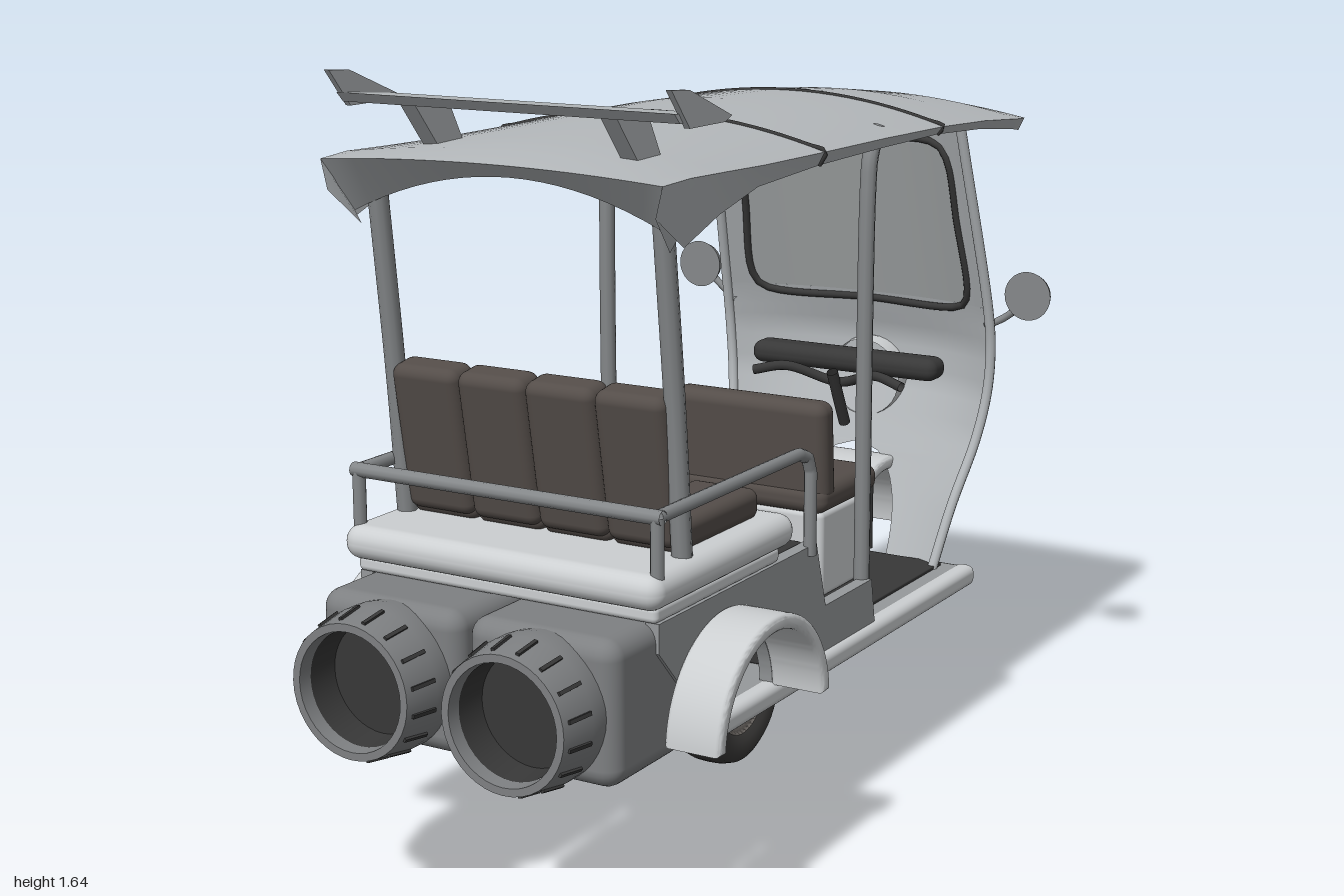
import * as THREE from 'three';
import { toCreasedNormals } from 'three/addons/utils/BufferGeometryUtils.js';
import { RoundedBoxGeometry } from 'three/addons/geometries/RoundedBoxGeometry.js';

const mat = (name, color) => new THREE.MeshStandardMaterial({ name, color, side: THREE.DoubleSide });
const V = (x, y, z) => new THREE.Vector3(x, y, z);

export function createModel() {
  const root = new THREE.Group();
  const paint = mat('grey paint', 0xb4b8bb), light = mat('light trim', 0xcccfd1), body = mat('body grey', 0x96999b);
  const metal = mat('tube metal', 0x85888a), engine = mat('engine grey', 0x7e8082), dark = mat('dark plastic', 0x383838);
  const seat = mat('seat leather', 0x544d49), tyre = mat('tyre rubber', 0x3a3938), hub = mat('wheel hub', 0x6c6763);
  const glass = mat('windscreen glass', 0xa9adae);

  const add = (name, geo, m, x = 0, y = 0, z = 0) => {
    const mesh = new THREE.Mesh(geo, m);
    mesh.name = name;
    mesh.position.set(x, y, z);
    root.add(mesh);
    return mesh;
  };
  // Rounded box given by its limits on each axis
  const box = (name, m, [x0, x1], [y0, y1], [z0, z1], r = 0.01) =>
    add(name, new RoundedBoxGeometry(x1 - x0, y1 - y0, z1 - z0, 3, r), m, (x0 + x1) / 2, (y0 + y1) / 2, (z0 + z1) / 2);
  const tube = (name, m, pts, r, closed = false, curved = true) => {
    let curve = new THREE.CatmullRomCurve3(pts, closed, 'centripetal');
    if (!curved) {
      curve = new THREE.CurvePath();
      for (let i = 1; i < pts.length; i++) curve.add(new THREE.LineCurve3(pts[i - 1], pts[i]));
    }
    return add(name, new THREE.TubeGeometry(curve, 64, r, 10, closed), m);
  };
  // Outline in (z, y) extruded along x from x0 to x1
  const extrudeX = (name, m, shape, x0, x1, bevel = 0) => {
    const geo = new THREE.ExtrudeGeometry(shape, {
      depth: x1 - x0 - 2 * bevel, bevelEnabled: bevel > 0, bevelSize: bevel, bevelOffset: -bevel,
      bevelThickness: bevel, bevelSegments: 3, curveSegments: 32,
    });
    geo.rotateY(-Math.PI / 2).translate(x1 - bevel, 0, 0);
    return add(name, toCreasedNormals(geo, 0.6), m);
  };
  const outline = (pts) => new THREE.Shape(pts.map(([z, y]) => new THREE.Vector2(z, y)));
  // Skin over rows of points
  const loft = (rows) => {
    const n = rows[0].length, index = [];
    for (let i = 0; i < rows.length - 1; i++) for (let j = 0; j < n - 1; j++) {
      const a = i * n + j, b = a + n;
      index.push(a, b, a + 1, b, b + 1, a + 1);
    }
    const geo = new THREE.BufferGeometry().setFromPoints(rows.flat());
    geo.setIndex(index);
    return toCreasedNormals(geo, 0.7);
  };

  // Roof: z, crown y, edge y, half width, lip y
  const roofRows = [
    [-0.94, 1.455, 1.43, 0.33, 1.405], [-0.92, 1.467, 1.43, 0.37, 1.4], [-0.85, 1.482, 1.435, 0.383, 1.41],
    [-0.65, 1.505, 1.45, 0.387, 1.43], [-0.42, 1.52, 1.46, 0.391, 1.442], [-0.13, 1.527, 1.465, 0.395, 1.442],
    [0.15, 1.524, 1.466, 0.396, 1.438], [0.4, 1.515, 1.468, 0.396, 1.425], [0.55, 1.508, 1.472, 0.396, 1.39],
    [0.68, 1.5, 1.475, 0.396, 1.345], [0.77, 1.485, 1.47, 0.39, 1.41], [0.69, 1.45, 1.36, 0.372, 1.335],
  ].map(([z, yc, ye, w, yb]) => {
    const row = [V(-w + 0.015, yb, z)];
    for (let i = -10; i <= 10; i++) row.push(V(w * i / 10, yc - (yc - ye) * (i / 10) ** 2, z));
    return [...row, V(w - 0.015, yb, z)];
  });
  add('roof', loft(roofRows), paint);
  for (const i of [4, 6]) tube('roofSeam', dark, roofRows[i], 0.005);

  // Roof spoiler
  extrudeX('spoilerWing', paint, outline([[0.72, 1.595], [0.7, 1.575], [0.55, 1.57], [0.54, 1.578]]), -0.385, 0.385);
  for (const s of [-1, 1]) {
    extrudeX('spoilerEndPlate', paint, outline([[0.745, 1.64], [0.68, 1.635], [0.525, 1.575], [0.55, 1.565], [0.68, 1.565]]), s * 0.388 - 0.006, s * 0.388 + 0.006);
    extrudeX('spoilerSupport', paint, outline([[0.7, 1.58], [0.59, 1.58], [0.54, 1.49], [0.62, 1.485]]), s * 0.23 - 0.018, s * 0.23 + 0.018);
  }

  // Front shell: y, centre z, side z, half width
  const table = [
    [0.36, -0.69, -0.62, 0.29], [0.52, -0.765, -0.69, 0.31], [0.67, -0.83, -0.765, 0.335], [0.78, -0.875, -0.79, 0.35],
    [0.88, -0.88, -0.79, 0.357], [0.97, -0.85, -0.775, 0.357], [1.43, -0.71, -0.645, 0.33],
  ];
  const shellPoint = (u, y, out = 0) => {
    let i = 0;
    while (i < table.length - 2 && y > table[i + 1][0]) i++;
    const t = (y - table[i][0]) / (table[i + 1][0] - table[i][0]);
    const [, zc, zs, w] = table[i].map((v, k) => v + (table[i + 1][k] - v) * t);
    return V(w * u, y, zc + (zs - zc) * Math.abs(u) ** 2.5 - out);
  };
  const patch = (name, m, u0, u1, y0, y1) => {
    const rows = [];
    for (let i = 0; i <= 14; i++) {
      const y = y0 + (y1 - y0) * i / 14, a = typeof u0 === 'function' ? u0(y) : u0, row = [];
      for (let j = 0; j <= 16; j++) row.push(shellPoint(a + (u1 - a) * j / 16, y));
      rows.push(row);
    }
    add(name, loft(rows), m);
  };
  patch('frontNose', paint, -1, 1, 0.62, 0.99);
  patch('windscreenHeader', paint, -1, 1, 1.38, 1.43);
  patch('windscreen', glass, -0.82, 0.82, 0.99, 1.38);
  for (const s of [-1, 1]) {
    patch('windscreenPillar', paint, s * 0.82, s, 0.99, 1.38);
    patch('noseLeg', paint, (y) => s * 0.48 * Math.sqrt(Math.max(0, 1 - ((y - 0.36) / 0.26) ** 2)), s, 0.36, 0.62);
    tube('shellEdge', paint, table.map(([y]) => shellPoint(s, y)), 0.012);
  }
  const gasket = [[-0.74, 1.385], [0, 1.385], [0.74, 1.385], [0.82, 1.35], [0.83, 1.2], [0.83, 1.02], [0.76, 0.985],
    [0, 0.975], [-0.76, 0.985], [-0.83, 1.02], [-0.83, 1.2], [-0.82, 1.35]];
  tube('windscreenGasket', dark, gasket.map(([u, y]) => shellPoint(u, y)), 0.009, true);
  tube('wiper', dark, [shellPoint(-0.05, 1.0, 0.015), shellPoint(0.1, 1.06, 0.02), shellPoint(0.5, 1.18, 0.015)], 0.006);

  // Headlight
  const lamp = new THREE.LatheGeometry([[0, 0.05], [0.05, 0.047], [0.075, 0.035], [0.078, 0.03], [0.095, 0.03], [0.1, 0], [0.095, -0.04]]
    .map(([r, h]) => new THREE.Vector2(r, h)), 32);
  add('headlight', lamp.rotateX(-Math.PI / 2), light, 0, 0.775, -0.87);

  // Fenders
  const fender = (name, z, r, x0, x1) => {
    const s = new THREE.Shape();
    s.absarc(z, 0.365, r, 0.05, Math.PI - 0.05, false);
    s.absarc(z, 0.365, r - 0.032, Math.PI - 0.05, 0.05, true);
    extrudeX(name, light, s, x0, x1, 0.01);
  };
  fender('frontFender', -0.765, 0.232, -0.105, 0.105);

  // Floor and lower body
  box('floor', body, [-0.34, 0.34], [0.33, 0.378], [-0.69, 0.52], 0.01);
  box('floorMat', dark, [-0.3, 0.3], [0.376, 0.386], [-0.66, 0.09], 0.003);
  box('benchBox', dark, [-0.325, 0.325], [0.44, 0.63], [0.09, 0.6], 0.01);
  box('benchFront', dark, [-0.325, 0.325], [0.378, 0.46], [0.09, 0.2], 0.005);
  const side = new THREE.Shape();
  side.moveTo(0.73, 0.63).lineTo(0.09, 0.63).lineTo(0.045, 0.48).lineTo(-0.175, 0.48).lineTo(-0.195, 0.37).lineTo(0.28, 0.365);
  side.absarc(0.48, 0.365, 0.2, Math.PI, 0.6, true);
  side.lineTo(0.73, 0.57);
  for (const s of [-1, 1]) {
    extrudeX('sidePanel', body, side, s * 0.34 - 0.015, s * 0.34 + 0.015);
    box('sill', light, [s * 0.345 - 0.025, s * 0.345 + 0.025], [0.328, 0.378], [-0.71, 0.52], 0.018);
    fender('rearFender', 0.482, 0.23, s * 0.415 - 0.062, s * 0.415 + 0.062);
  }
  box('frontCrossBar', light, [-0.36, 0.36], [0.335, 0.375], [-0.705, -0.665], 0.015);

  // Rear deck and passenger bench
  box('deckBase', light, [-0.355, 0.355], [0.63, 0.665], [0.25, 0.74], 0.012);
  box('deck', light, [-0.375, 0.375], [0.658, 0.73], [0.21, 0.77], 0.034);
  for (let i = 0; i < 4; i++) {
    const x = -0.2415 + i * 0.161;
    box('benchCushion', seat, [x - 0.081, x + 0.081], [0.725, 0.79], [0.275, 0.6], 0.022);
    box('benchBack', seat, [x - 0.081, x + 0.081], [0.74, 1.055], [0.56, 0.64], 0.024).rotation.x = 0.17;
  }

  // Driver seat
  box('driverSeatBox', light, [-0.19, 0.19], [0.385, 0.59], [-0.51, -0.25], 0.015);
  box('driverCushion', seat, [-0.2, 0.2], [0.585, 0.65], [-0.52, -0.235], 0.028);
  box('driverBack', seat, [-0.2, 0.2], [0.61, 0.845], [-0.305, -0.235], 0.028).rotation.x = 0.06;

  // Dashboard, handlebars and fork
  box('dashboard', dark, [-0.25, 0.25], [0.81, 0.865], [-0.78, -0.7], 0.025);
  tube('handlebar', dark, [V(-0.2, 0.81, -0.63), V(-0.12, 0.825, -0.65), V(0, 0.79, -0.69), V(0.12, 0.825, -0.65), V(0.2, 0.81, -0.63)], 0.012);
  tube('steeringColumn', dark, [V(0, 0.82, -0.66), V(0, 0.68, -0.73)], 0.014);
  for (const s of [-1, 1]) tube('frontFork', dark, [V(s * 0.055, 0.36, -0.76), V(s * 0.055, 0.56, -0.76)], 0.011);

  // Roof posts, side rails and mirrors
  for (const s of [-1, 1]) {
    tube('rearPost', metal, [V(s * 0.33, 0.7, 0.6), V(s * 0.33, 1.0, 0.625), V(s * 0.33, 1.4, 0.67)], 0.021);
    tube('middlePost', metal, [V(s * 0.33, 0.38, -0.175), V(s * 0.33, 1.35, -0.175), V(s * 0.33, 1.42, -0.185), V(s * 0.33, 1.475, -0.22)], 0.018);
    tube('railPost', metal, [V(s * 0.352, 0.7, 0.73), V(s * 0.352, 0.84, 0.73)], 0.014);
    tube('sideRail', metal, [V(s * 0.352, 0.84, 0.73), V(s * 0.352, 0.84, 0.17), V(s * 0.352, 0.825, 0.13),
      V(s * 0.352, 0.79, 0.115), V(s * 0.352, 0.61, 0.115)], 0.014, false, false);
    add('mirror', new THREE.CylinderGeometry(0.058, 0.05, 0.022, 28).rotateX(Math.PI / 2), metal, s * 0.447, 1.027, -0.8);
    tube('mirrorArm', metal, [V(s * 0.34, 0.945, -0.79), V(s * 0.38, 0.965, -0.805), V(s * 0.425, 1.0, -0.808)], 0.009);
  }
  tube('rearRail', metal, [V(-0.365, 0.84, 0.73), V(0.365, 0.84, 0.73)], 0.015);

  // Twin jet engines
  const lathe = (pts) => toCreasedNormals(new THREE.LatheGeometry(pts.map(([r, h]) => new THREE.Vector2(r, h)), 40).rotateX(Math.PI / 2), 0.6);
  for (const s of [-1, 1]) {
    const x = s * 0.178, y = 0.48;
    box('jetHousing', engine, [x - 0.17, x + 0.17], [0.335, 0.63], [0.61, 0.88], 0.04);
    add('jetNozzle', lathe([[0.145, 0.84], [0.151, 0.88], [0.151, 0.92], [0.138, 1], [0.122, 1], [0.118, 0.93]]), engine, x, y, 0);
    add('jetInside', lathe([[0.119, 0.97], [0.115, 0.9], [0, 0.9]]), dark, x, y, 0);
    for (let i = 0; i < 16; i++) {
      const a = (i + 0.5) * Math.PI / 8;
      const slit = add('nozzleSlit', new THREE.BoxGeometry(0.008, 0.009, 0.06), dark, x + Math.cos(a) * 0.1455, y + Math.sin(a) * 0.1455, 0.955);
      slit.rotation.set(0, 0, a - Math.PI / 2);
      slit.rotateX(0.16);
    }
  }

  // Wheel
  const wheel = (name, pts, m) => add(name, new THREE.LatheGeometry(pts.map(([r, h]) => new THREE.Vector2(r, h)), 44).rotateZ(Math.PI / 2), m, 0, 0.176, -0.14);
  wheel('tyre', [[0.1, -0.045], [0.12, -0.058], [0.15, -0.062], [0.168, -0.05], [0.175, -0.025], [0.176, 0], [0.175, 0.025],
    [0.168, 0.05], [0.15, 0.062], [0.12, 0.058], [0.1, 0.045]], tyre);
  wheel('wheelHub', [[0, -0.05], [0.06, -0.05], [0.07, -0.04], [0.095, -0.04], [0.105, -0.05], [0.105, 0.05], [0.095, 0.04],
    [0.07, 0.04], [0.06, 0.05], [0, 0.05]], hub);
  return root;
}
